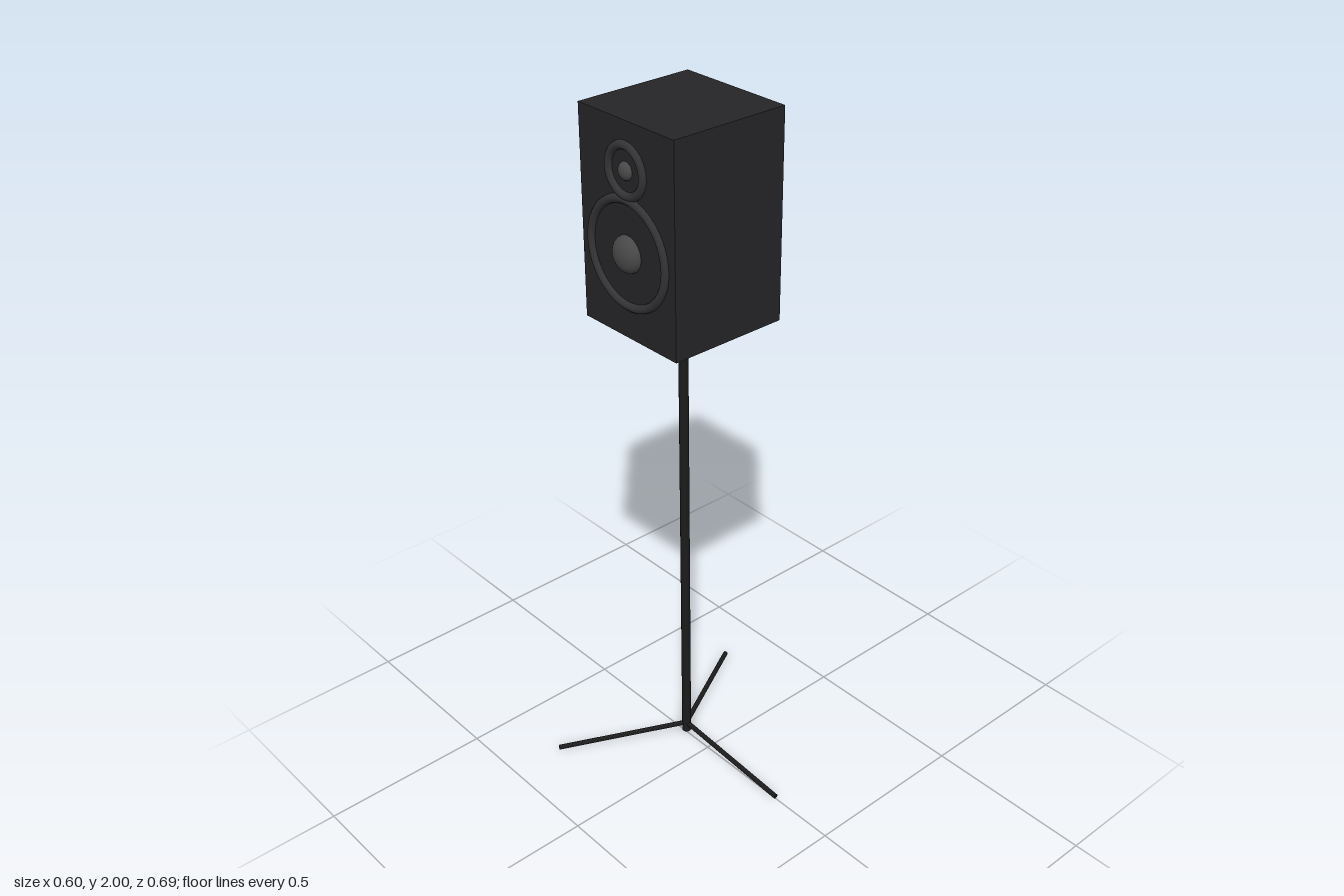
import * as THREE from 'three';

const CX = -0.097; // axis of the pole and cabinet
const FRONT = 0.178; // cabinet front plane

const paint = (color) => new THREE.MeshStandardMaterial({ color });

function add(parent, name, geometry, material, x, y, z) {
  const mesh = new THREE.Mesh(geometry, material);
  mesh.name = name;
  mesh.position.set(x, y, z);
  parent.add(mesh);
  return mesh;
}

// A round rod between two points
function rod(parent, name, a, b, radius, material) {
  const dir = b.clone().sub(a);
  const mid = a.clone().add(b).multiplyScalar(0.5);
  const geometry = new THREE.CylinderGeometry(radius, radius, dir.length(), 16);
  const mesh = add(parent, name, geometry, material, mid.x, mid.y, mid.z);
  mesh.quaternion.setFromUnitVectors(new THREE.Vector3(0, 1, 0), dir.normalize());
}

// A raised surround ring with a domed cap in its middle
function driver(parent, name, y, ringRadius, domeRadius, domeDepth, ringPaint, domePaint) {
  const group = new THREE.Group();
  group.name = name;
  group.position.set(CX, y, FRONT);
  parent.add(group);

  const ring = new THREE.TorusGeometry(ringRadius - 0.012, 0.012, 12, 48);
  add(group, name + 'Surround', ring, ringPaint, 0, 0, 0);

  const dome = new THREE.SphereGeometry(domeRadius, 28, 10, 0, Math.PI * 2, 0, Math.PI / 2);
  dome.scale(1, domeDepth / domeRadius, 1);
  dome.rotateX(Math.PI / 2);
  add(group, name + 'Dome', dome, domePaint, 0, 0, 0);
}

export function createModel() {
  const model = new THREE.Group();
  model.name = 'speakerOnStand';
  const cabinetPaint = paint(0x252527);
  const ringPaint = paint(0x333335);
  const domePaint = paint(0x484848);
  const standPaint = paint(0x1b1b1b);

  // Cabinet
  add(model, 'cabinet', new THREE.BoxGeometry(0.357, 0.58, 0.356), cabinetPaint, CX, 1.71, 0);

  // Drivers on the front face
  driver(model, 'woofer', 1.655, 0.155, 0.05, 0.032, ringPaint, domePaint);
  driver(model, 'tweeter', 1.873, 0.077, 0.024, 0.016, ringPaint, domePaint);

  // Pole
  rod(model, 'pole', new THREE.Vector3(CX, 0.012, 0), new THREE.Vector3(CX, 1.43, 0), 0.0135, standPaint);

  // Three legs, one pointing to the model's left
  for (let i = 0; i < 3; i++) {
    const a = (i * Math.PI * 2) / 3;
    const foot = new THREE.Vector3(CX + 0.394 * Math.cos(a), 0.0085, 0.394 * Math.sin(a));
    rod(model, 'leg' + (i + 1), new THREE.Vector3(CX, 0.039, 0), foot, 0.0073, standPaint);
  }
  return model;
}
